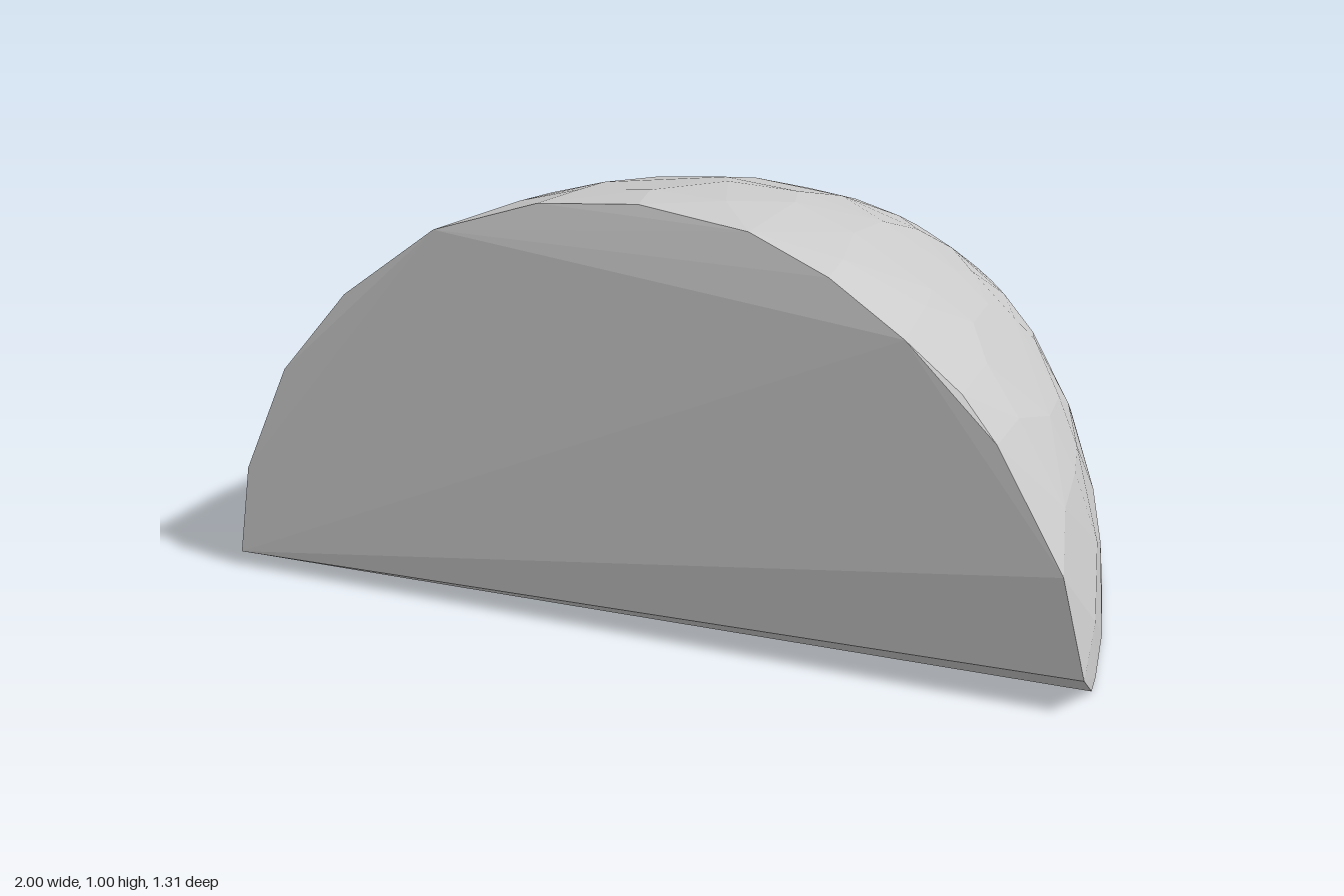
import * as THREE from 'three';
import { ConvexGeometry } from 'three/addons/geometries/ConvexGeometry.js';

// Radius of the half dome along its axis
const radius = (z) => 0.866 + 0.323 * z - 0.173 * z * z;

// Small seeded generator for the irregular facets, range -0.5 to 0.5
function seeded(seed) {
  return () => {
    seed = (seed * 16807) % 2147483647;
    return seed / 2147483647 - 0.5;
  };
}

export function createModel() {
  const group = new THREE.Group();
  const random = seeded(71);
  const points = [];
  const add = (x, y, z) => points.push(new THREE.Vector3(x, y, z));

  // Irregular front rim, from one lower corner over the top to the other
  [
    [-1, 0.035, 0.655], [-0.97, 0.25, 0.65], [-0.87, 0.5, 0.63], [-0.71, 0.7, 0.622],
    [-0.47, 0.89, 0.645], [-0.23, 0.975, 0.627], [0, 1, 0.62], [0.25, 0.975, 0.627],
    [0.43, 0.905, 0.64], [0.6, 0.8, 0.655], [0.72, 0.695, 0.642], [0.8, 0.6, 0.652],
    [0.95, 0.33, 0.652], [0.995, 0.085, 0.62],
  ].forEach((p) => add(...p));

  // Curved shell: arcs of slightly scattered points, giving uneven facets
  const segments = 16;
  [0.45, 0.25, 0.04, -0.17, -0.36, -0.52].forEach((station) => {
    for (let i = 1; i < segments; i++) {
      const a = ((i + random() * 0.7) / segments) * Math.PI;
      const z = station + random() * 0.14;
      const r = radius(z);
      add(r * Math.cos(a), Math.max(0.02, r * Math.sin(a)), z);
    }
    // Lower edges of the flat base
    const r = radius(station);
    add(r, 0.004, station);
    add(-r, 0.012, station);
  });

  // Front corners of the base
  add(0.983, 0, 0.505);
  add(-0.995, 0.022, 0.62);

  // Flat back rim
  const back = -0.655;
  for (let i = 0; i <= 20; i++) {
    const a = (i / 20) * Math.PI;
    add(0.58 * Math.cos(a), Math.max(0.008, 0.58 * Math.sin(a)), back);
  }

  const dome = new THREE.Mesh(
    new ConvexGeometry(points),
    new THREE.MeshStandardMaterial({ color: 0xcccccc, flatShading: true })
  );
  dome.name = 'halfDome';
  group.add(dome);
  return group;
}
